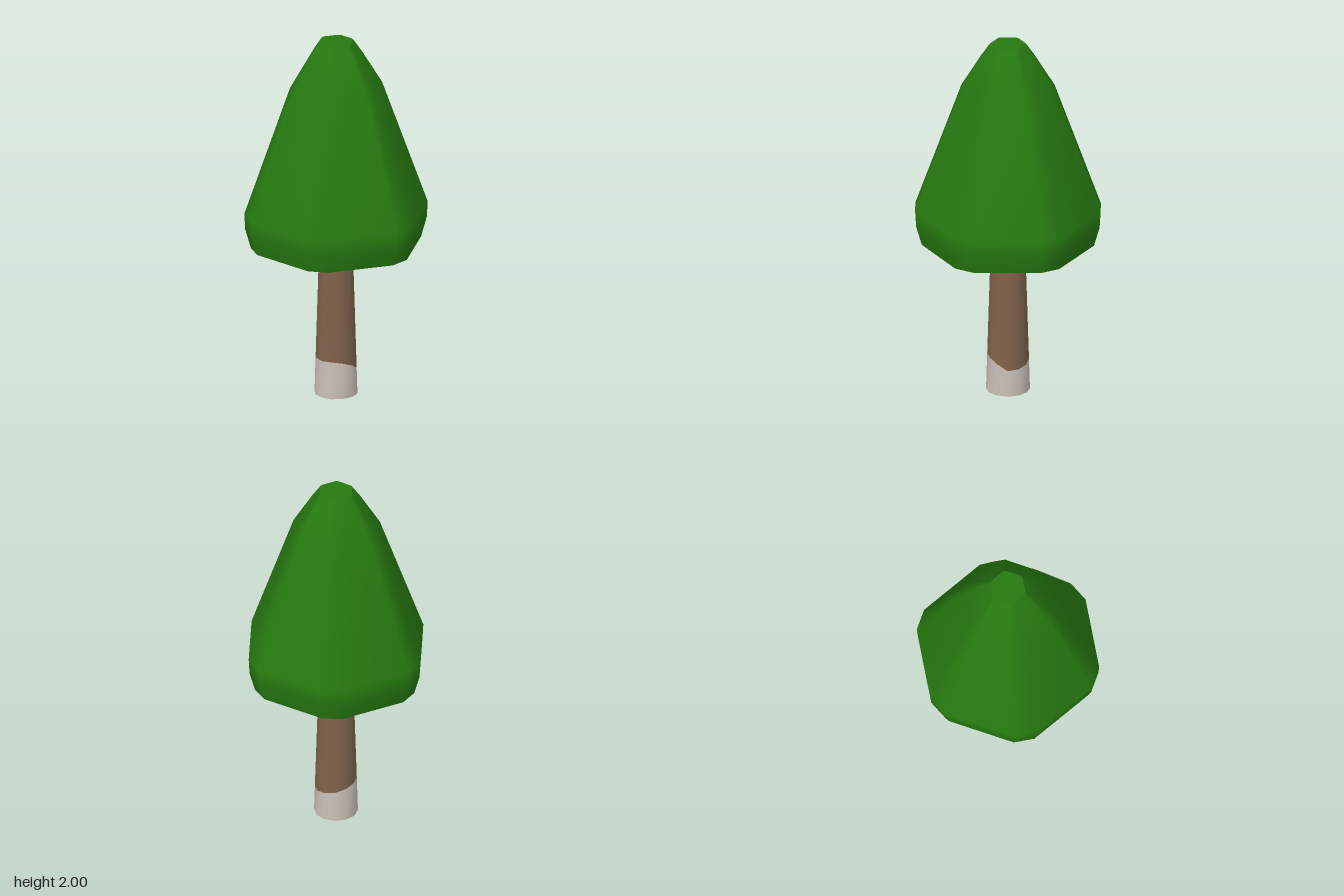
import * as THREE from 'three';

// Skin closed rings (arrays of Vector3, listed from bottom to top) with smooth normals
function loft(rings) {
  const n = rings[0].length, index = [];
  for (let r = 0; r < rings.length - 1; r++) {
    for (let i = 0; i < n; i++) {
      const a = r * n + i, b = r * n + (i + 1) % n;
      index.push(a, b, b + n, a, b + n, a + n);
    }
  }
  const geo = new THREE.BufferGeometry().setFromPoints(rings.flat());
  geo.setIndex(index);
  geo.computeVertexNormals();
  return geo;
}

// Flat lid over one ring
function cap(ring, up) {
  const index = [];
  for (let i = 1; i < ring.length - 1; i++) index.push(...(up ? [0, i, i + 1] : [0, i + 1, i]));
  const geo = new THREE.BufferGeometry().setFromPoints(ring);
  geo.setIndex(index);
  geo.computeVertexNormals();
  return geo;
}

// Hexagon with its corners cut off; cut is a share of the side length
function cutHexagon(apothem, y, cut) {
  const R = apothem / Math.cos(Math.PI / 6);
  const corner = (k) => new THREE.Vector3(
    R * Math.cos(k * Math.PI / 3), y, -R * Math.sin(k * Math.PI / 3));
  const ring = [];
  for (let k = 0; k < 6; k++) {
    ring.push(corner(k).lerp(corner(k - 1), cut), corner(k).lerp(corner(k + 1), cut));
  }
  return ring;
}

export function createModel() {
  const leafGreen = new THREE.MeshStandardMaterial({ color: 0x267a10 });
  const barkBrown = new THREE.MeshStandardMaterial({ color: 0x80624a, side: THREE.DoubleSide });
  const paintWhite = new THREE.MeshStandardMaterial({ color: 0xc9bfb6, side: THREE.DoubleSide });
  leafGreen.name = 'leafGreen';
  barkBrown.name = 'barkBrown';
  paintWhite.name = 'paintWhite';

  const group = new THREE.Group();
  group.name = 'tree';
  const add = (name, geo, mat, parent = group) => {
    const mesh = new THREE.Mesh(geo, mat);
    mesh.name = name;
    parent.add(mesh);
  };

  // Crown: apothem, height, corner cut
  const crown = new THREE.Group();
  crown.name = 'crown';
  group.add(crown);
  const rings = [
    [0.425, 0.853, 0.13], [0.453, 0.96, 0.13], [0.458, 1.05, 0.13],
    [0.23, 1.75, 0.13], [0.13, 1.93, 0.11], [0.086, 2, 0.09],
  ].map((r) => cutHexagon(...r));
  add('crownSides', loft(rings), leafGreen, crown);
  add('crownUnderside', cap(rings[0], false), leafGreen, crown);
  add('crownTop', cap(rings[rings.length - 1], true), leafGreen, crown);

  // Trunk: tapered tube, open below, with a wavy edge to the white paint
  const paintEdge = [0.205, 0.207, 0.2, 0.178, 0.146, 0.15, 0.16, 0.172, 0.187, 0.2, 0.205, 0.207];
  const trunkRing = (height) => paintEdge.map((edge, i) => {
    const y = height ?? edge;
    const r = 0.117 - 0.026 * y / 0.86;
    const a = i * Math.PI * 2 / paintEdge.length;
    return new THREE.Vector3(r * Math.sin(a), y, r * Math.cos(a));
  });
  add('paintedTrunkBase', loft([trunkRing(0), trunkRing()]), paintWhite);
  add('trunk', loft([trunkRing(), trunkRing(0.86)]), barkBrown);

  return group;
}
